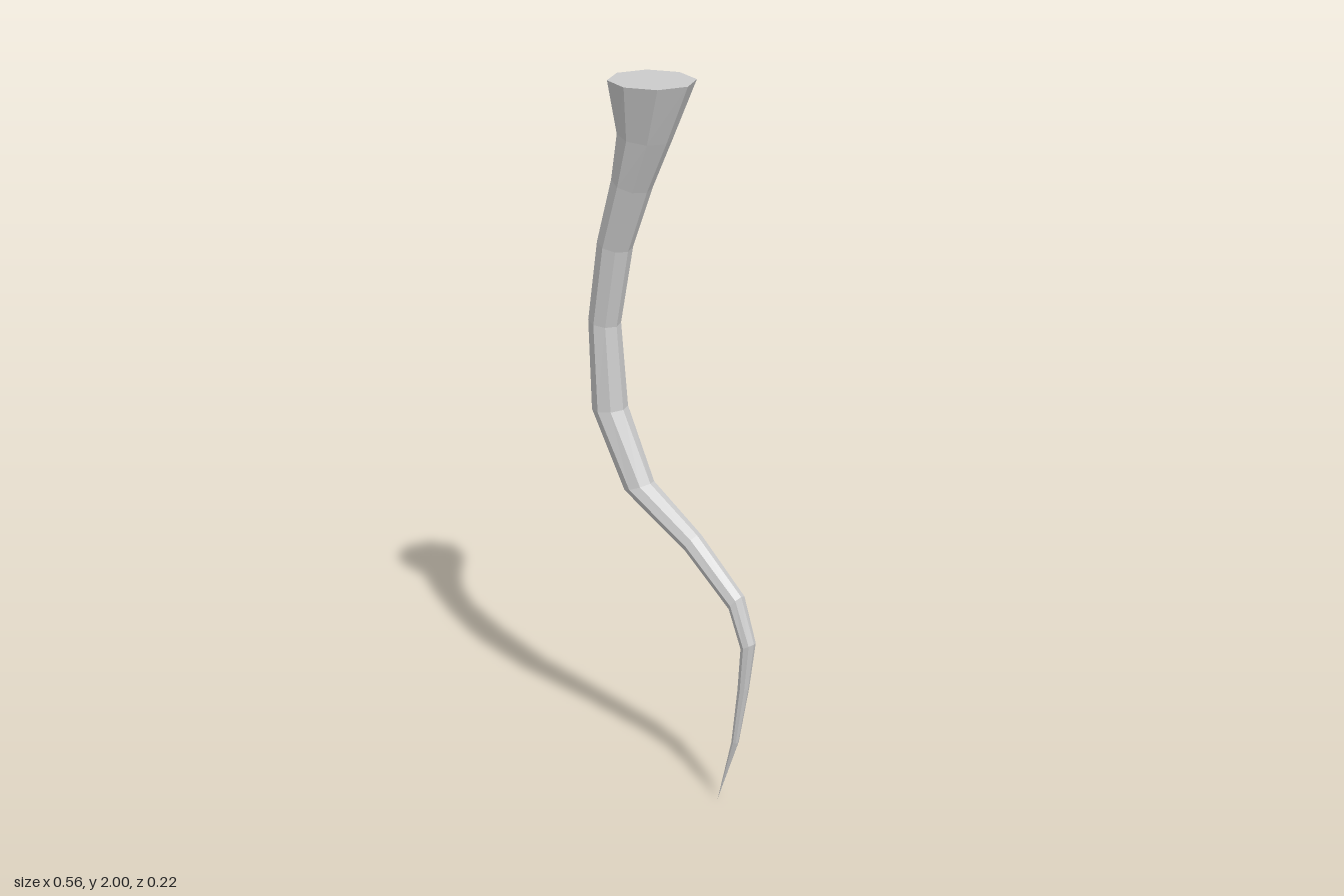
import * as THREE from 'three';

const SIDES = 8;

// Cross-sections from top to bottom: left edge x, y, right edge x, y, half depth in z
const SECTIONS = [
  [-0.19, 2.0, 0.047, 2.0, 0.11],
  [-0.167, 1.86, -0.024, 1.84, 0.074],
  [-0.19, 1.735, -0.09, 1.7, 0.06],
  [-0.246, 1.553, -0.156, 1.527, 0.051],
  [-0.283, 1.325, -0.198, 1.31, 0.046],
  [-0.272, 1.07, -0.177, 1.077, 0.051],
  [-0.161, 0.855, -0.082, 0.886, 0.042],
  [0.056, 0.728, 0.082, 0.78, 0.033],
  [0.204, 0.6, 0.235, 0.643, 0.028],
  [0.241, 0.495, 0.28, 0.516, 0.022],
  [0.23, 0.37, 0.262, 0.375, 0.016],
  [0.209, 0.2, 0.23, 0.2, 0.01],
];
const TIP = [0.16, 0, 0];

function taperedGeometry() {
  const positions = [];
  const index = [];

  // Octagonal rings, each tilted along its left-to-right edge line
  for (const [lx, ly, rx, ry, depth] of SECTIONS) {
    for (let j = 0; j < SIDES; j++) {
      const a = (j / SIDES) * Math.PI * 2;
      const t = (1 + Math.cos(a)) / 2;
      positions.push(lx + (rx - lx) * t, ly + (ry - ly) * t, depth * Math.sin(a));
    }
  }
  const tip = positions.length / 3;
  positions.push(...TIP);

  // Walls between rings, closing to a point at the tip
  const last = SECTIONS.length - 1;
  for (let i = 0; i <= last; i++) {
    for (let j = 0; j < SIDES; j++) {
      const a = i * SIDES + j;
      const b = i * SIDES + ((j + 1) % SIDES);
      if (i === last) index.push(a, b, tip);
      else index.push(a, b, b + SIDES, a, b + SIDES, a + SIDES);
    }
  }

  // Flat cap on the wide end
  for (let j = 1; j < SIDES - 1; j++) index.push(0, j + 1, j);

  const geometry = new THREE.BufferGeometry();
  geometry.setAttribute('position', new THREE.Float32BufferAttribute(positions, 3));
  geometry.setIndex(index);
  const faceted = geometry.toNonIndexed();
  faceted.computeVertexNormals();
  return faceted;
}

export function createModel() {
  const group = new THREE.Group();
  group.name = 'twistedRoot';
  const material = new THREE.MeshStandardMaterial({ color: 0xcccccc, flatShading: true });
  const root = new THREE.Mesh(taperedGeometry(), material);
  root.name = 'root';
  group.add(root);
  return group;
}
